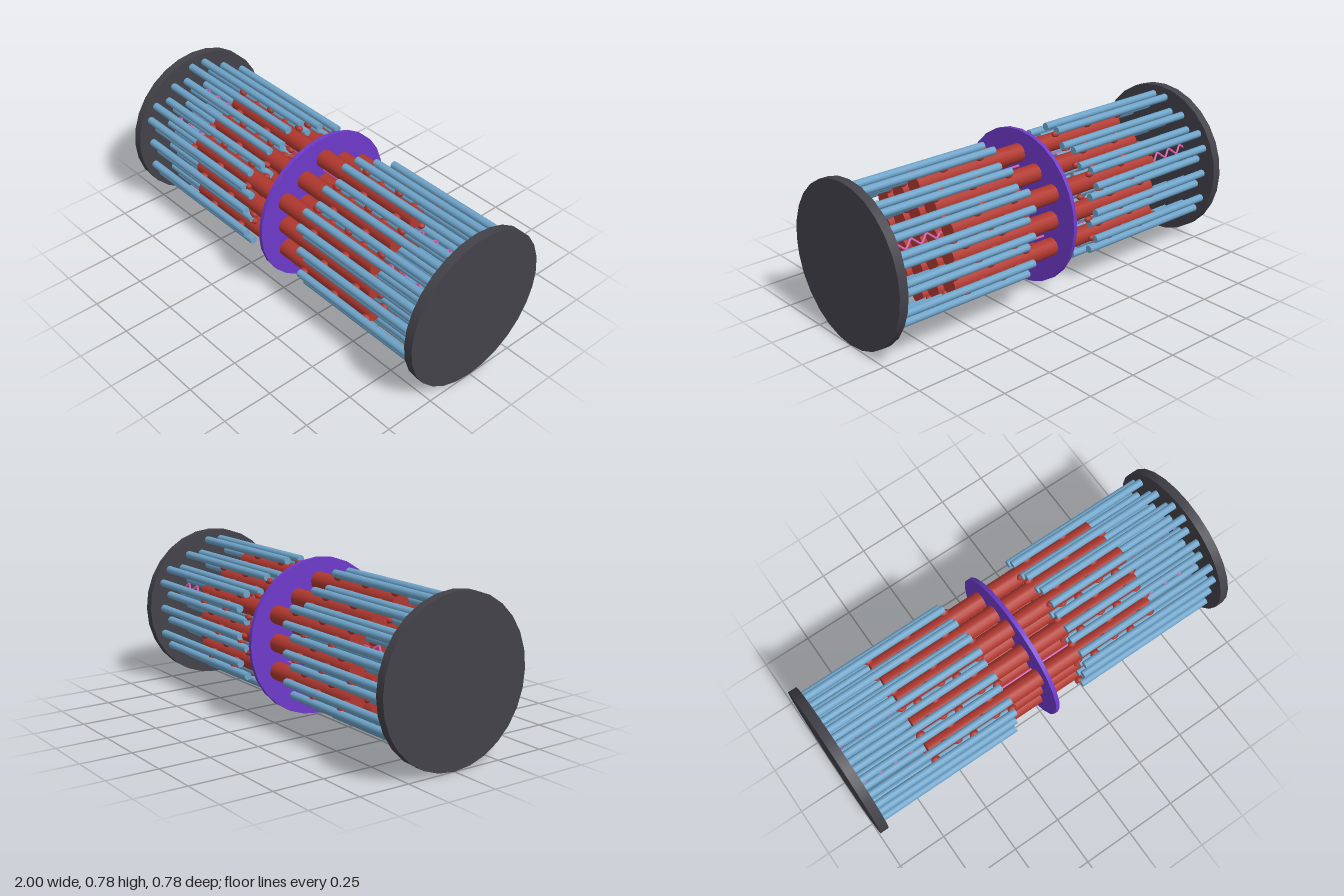
import * as THREE from 'three';

const A = 0.135;                 // spacing of the hexagonal lattice
const CY = 0.39;                 // height of the long axis
const mat = (color) => new THREE.MeshStandardMaterial({ color });

// Cylinder lying along x
function rodGeometry(radius, length, sides) {
  return new THREE.CylinderGeometry(radius, radius, length, sides).rotateZ(Math.PI / 2);
}

// Lattice columns from front to back, each listed from top to bottom
function thickPositions() {
  const list = [];
  for (let c = 2; c >= -2; c--) {
    const n = 5 - Math.abs(c);
    for (let i = 0; i < n; i++) list.push({ y: ((n - 1) / 2 - i) * A, z: c * A * Math.sqrt(3) / 2 });
  }
  return list;
}

// Corners of the hexagon around every thick filament, without repeats
function thinPositions(thick) {
  const found = new Map();
  for (const p of thick) {
    for (let k = 0; k < 6; k++) {
      const a = k * Math.PI / 3, r = A / Math.sqrt(3);
      const q = { y: p.y + r * Math.sin(a), z: p.z + r * Math.cos(a) };
      found.set(`${Math.round(q.y * 1000 / 5)},${Math.round(q.z * 1000 / 5)}`, q);
    }
  }
  return [...found.values()];
}

// Straight in the middle, a zigzag spring in the plane of the tangent at each end
function springCurve(angle) {
  const r = 1.5 * A, amp = 0.017, cycles = 4, steps = cycles * 4;
  const path = new THREE.CurvePath();
  const at = (x, offset) => new THREE.Vector3(
    x,
    CY + r * Math.sin(angle) + offset * Math.cos(angle),
    r * Math.cos(angle) - offset * Math.sin(angle));
  const spring = (side) => {
    const pts = [];
    for (let i = 0; i <= steps; i++) {
      pts.push(at(side * (0.625 + 0.335 * i / steps), amp * Math.sin(i * Math.PI / 2)));
    }
    return pts;
  };
  path.add(new THREE.CatmullRomCurve3(spring(-1).reverse()));
  path.add(new THREE.LineCurve3(at(-0.625, 0), at(0.625, 0)));
  path.add(new THREE.CatmullRomCurve3(spring(1)));
  return path;
}

export function createModel() {
  const model = new THREE.Group();
  const dark = mat(0x43424a), purple = mat(0x6f3acb), red = mat(0xb0382f);
  const blue = mat(0x6fa5cb), pink = mat(0xdb5cac);

  const add = (parent, name, geometry, material, x, y, z) => {
    const mesh = new THREE.Mesh(geometry, material);
    mesh.name = name;
    mesh.position.set(x, y, z);
    parent.add(mesh);
    return mesh;
  };
  const group = (name) => {
    const g = new THREE.Group();
    g.name = name;
    model.add(g);
    return g;
  };

  // End discs and middle disc
  const endGeo = rodGeometry(0.39, 0.044, 28);
  add(model, 'leftEndDisc', endGeo, dark, 0.978, CY, 0);
  add(model, 'rightEndDisc', endGeo, dark, -0.978, CY, 0);
  add(model, 'middleDisc', rodGeometry(0.382, 0.02, 28), purple, 0, CY, 0);

  // Thick filaments with pairs of heads turning around them
  const thick = thickPositions();
  const thickGroup = group('thickFilaments');
  const headGroup = group('crossBridgeHeads');
  const thickGeo = rodGeometry(0.044, 1.25, 16);
  const headGeo = new THREE.SphereGeometry(1, 10, 7).scale(0.023, 0.016, 0.016);
  thick.forEach((p, index) => {
    add(thickGroup, 'thickFilament', thickGeo, red, 0, CY + p.y, p.z);
    for (const side of [-1, 1]) {
      for (let level = 0; level < 7; level++) {
        const turn = side < 0 ? index + level : index + 1 - level;
        for (const flip of [0, Math.PI]) {
          const a = -turn * Math.PI / 3 + flip;
          add(headGroup, 'head', headGeo, red, side * (0.2 + 0.07 * level),
            CY + p.y + 0.056 * Math.sin(a), p.z + 0.056 * Math.cos(a));
        }
      }
    }
  });

  // Thin filaments reaching inward from both end discs
  const thinGroup = group('thinFilaments');
  const thinGeo = rodGeometry(0.019, 0.765, 10);
  for (const p of thinPositions(thick)) {
    for (const side of [-1, 1]) add(thinGroup, 'thinFilament', thinGeo, blue, side * 0.5775, CY + p.y, p.z);
  }

  // Elastic strands, six around the axis
  const strandGroup = group('elasticStrands');
  for (let k = 0; k < 6; k++) {
    const path = springCurve(Math.PI / 6 + k * Math.PI / 3);
    for (const curve of path.curves) {
      const segments = curve.isLineCurve3 ? 1 : 64;
      add(strandGroup, 'strand', new THREE.TubeGeometry(curve, segments, 0.006, 6), pink, 0, 0, 0);
    }
  }
  return model;
}
